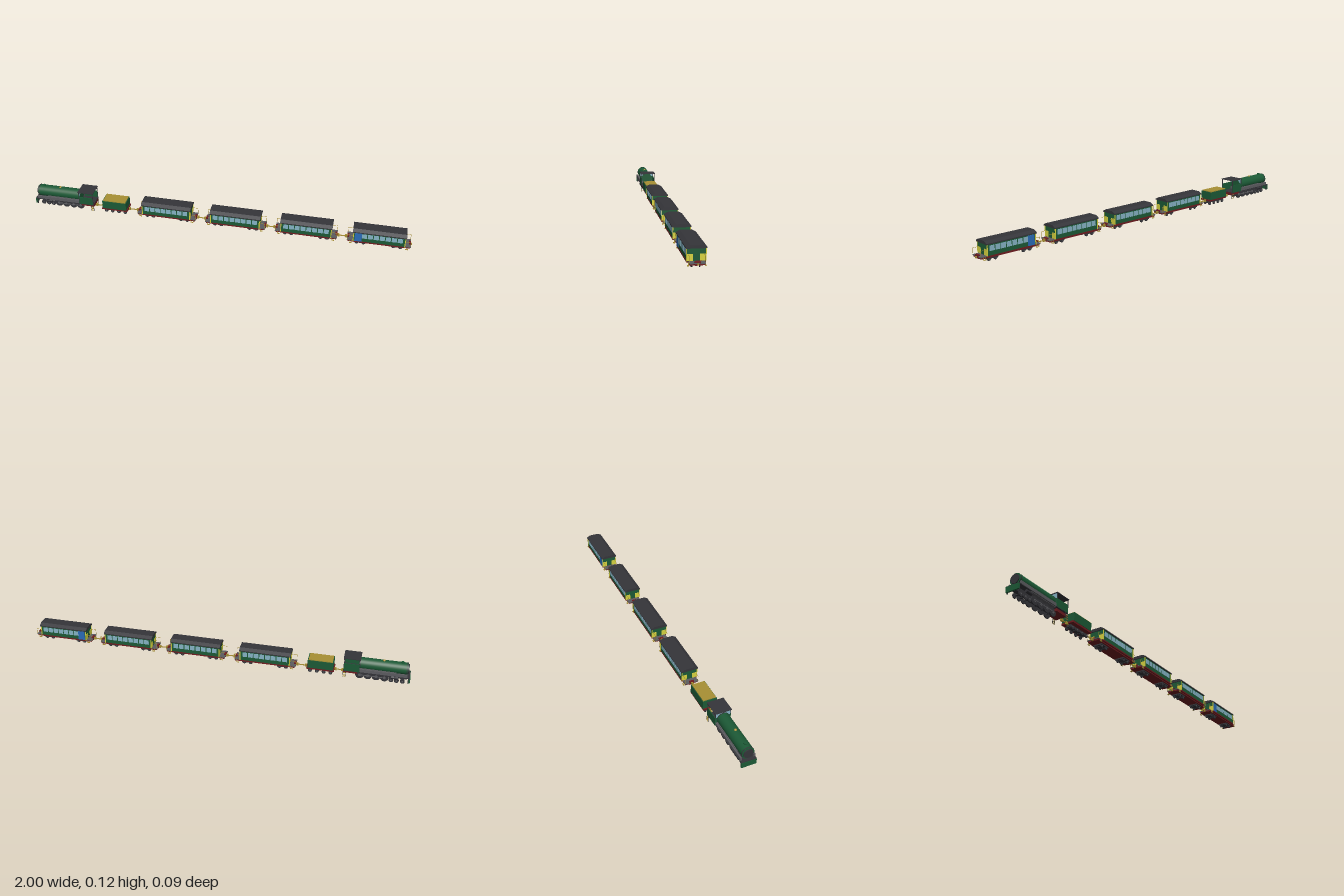
import * as THREE from 'three';

const mat = (color, opts = {}) => new THREE.MeshStandardMaterial({ color, ...opts });
const M = {
  green: mat(0x1c5a36), dark: mat(0x35353a), grey: mat(0x5c5c60), glass: mat(0x86b4c6),
  yellow: mat(0xd8d440), gold: mat(0xa89034), red: mat(0x701c20), blue: mat(0x2a6cb8),
};

function add(parent, name, geo, material, x = 0, y = 0, z = 0) {
  const m = new THREE.Mesh(geo, material);
  m.name = name;
  m.position.set(x, y, z);
  parent.add(m);
  return m;
}

// Box given by its limits along each axis
function box(parent, name, material, [x0, x1], [y0, y1], [z0, z1]) {
  return add(parent, name, new THREE.BoxGeometry(x1 - x0, y1 - y0, z1 - z0), material,
    (x0 + x1) / 2, (y0 + y1) / 2, (z0 + z1) / 2);
}

// Pair of wheels with hubs joined by an axle
function wheelset(parent, x, r) {
  const g = new THREE.Group();
  g.name = 'wheelset';
  g.position.set(x, r, 0);
  parent.add(g);
  for (const s of [-1, 1]) {
    const w = add(g, 'wheel', new THREE.CylinderGeometry(r, r, 0.005, 20), M.dark, 0, 0, s * 0.017);
    w.rotation.x = Math.PI / 2;
    const h = add(g, 'hub', new THREE.CylinderGeometry(r * 0.35, r * 0.35, 0.003, 10), M.grey, 0, 0, s * 0.0205);
    h.rotation.x = Math.PI / 2;
  }
  add(g, 'axle', new THREE.CylinderGeometry(0.0025, 0.0025, 0.034, 8), M.dark).rotation.x = Math.PI / 2;
}

// Solid with a constant cross-section of [z, y] points, running along x
function prism(parent, name, material, points, x0, x1) {
  const shape = new THREE.Shape(points.map(([z, y]) => new THREE.Vector2(-z, y)));
  const geo = new THREE.ExtrudeGeometry(shape, { depth: x1 - x0, bevelEnabled: false });
  geo.rotateY(Math.PI / 2);
  return add(parent, name, geo, material, x0);
}

function createLocomotive() {
  const g = new THREE.Group();
  g.name = 'locomotive';
  // boiler with smokebox door, bands and fittings
  const tube = (name, r, x0, x1, m) => {
    const t = add(g, name, new THREE.CylinderGeometry(r, r, x1 - x0, 32), m, (x0 + x1) / 2, 0.079, 0);
    t.rotation.z = Math.PI / 2;
  };
  tube('boiler', 0.03, -0.985, -0.745, M.green);
  tube('smokeboxDoor', 0.024, -0.99, -0.984, M.dark);
  for (const x of [-0.98, -0.75]) tube('boilerBand', 0.0308, x - 0.002, x + 0.002, M.dark);
  add(g, 'chimney', new THREE.CylinderGeometry(0.008, 0.007, 0.008, 16), M.green, -0.955, 0.11, 0);
  add(g, 'dome', new THREE.SphereGeometry(0.007, 14, 8), M.gold, -0.865, 0.108, 0);
  // running boards, frame and front beam
  box(g, 'boilerSaddle', M.grey, [-0.93, -0.745], [0.044, 0.064], [-0.03, 0.03]);
  for (const s of [-1, 1]) {
    const z = s * 0.033;
    box(g, 'runningBoard', M.grey, [-0.985, -0.745], [0.046, 0.062], [z - 0.004, z + 0.004]);
    box(g, 'frontPost', M.dark, [-0.993, -0.989], [0.012, 0.046], [z - 0.002, z + 0.002]);
    box(g, 'connectingRod', M.grey, [-0.88, -0.75], [0.02, 0.024], [s * 0.023 - 0.001, s * 0.023 + 0.001]);
    const c = add(g, 'cylinder', new THREE.CylinderGeometry(0.008, 0.008, 0.035, 16), M.dark, -0.925, 0.034, s * 0.027);
    c.rotation.z = Math.PI / 2;
  }
  box(g, 'frontDeck', M.dark, [-0.998, -0.92], [0.042, 0.047], [-0.037, 0.037]);
  box(g, 'frontBeam', M.green, [-1, -0.993], [0.016, 0.044], [-0.037, 0.037]);
  box(g, 'mainFrame', M.dark, [-0.985, -0.73], [0.022, 0.046], [-0.011, 0.011]);
  box(g, 'rearFrame', M.red, [-0.74, -0.67], [0.03, 0.046], [-0.03, 0.03]);
  // leading wheels and driving wheels
  for (const x of [-0.964, -0.935, -0.908]) wheelset(g, x, 0.012);
  for (const x of [-0.875, -0.834, -0.793, -0.752]) wheelset(g, x, 0.021);
  // cab
  box(g, 'cabFloor', M.dark, [-0.75, -0.67], [0.044, 0.048], [-0.039, 0.039]);
  box(g, 'cabFront', M.green, [-0.75, -0.746], [0.046, 0.09], [-0.039, 0.039]);
  box(g, 'cabFrontWindow', M.glass, [-0.749, -0.747], [0.09, 0.116], [-0.038, 0.038]);
  for (const s of [-1, 1]) {
    const z = s * 0.038;
    box(g, 'cabSide', M.green, [-0.75, -0.672], [0.046, 0.088], [z - 0.0015, z + 0.0015]);
    for (const x of [-0.748, -0.672])
      box(g, 'cabPost', M.dark, [x - 0.0015, x + 0.0015], [0.046, 0.116], [z - 0.0015, z + 0.0015]);
    // access ladder
    for (const x of [-0.684, -0.67])
      box(g, 'ladderRail', M.dark, [x - 0.001, x + 0.001], [0.01, 0.046], [z - 0.001, z + 0.001]);
    for (const y of [0.012, 0.022, 0.032])
      box(g, 'ladderRung', M.gold, [-0.684, -0.67], [y, y + 0.002], [z - 0.002, z + 0.002]);
  }
  box(g, 'cabRoof', M.dark, [-0.753, -0.668], [0.115, 0.118], [-0.042, 0.042]);
  return g;
}

function createTender() {
  const g = new THREE.Group();
  g.name = 'tender';
  box(g, 'tenderBody', M.green, [-0.62, -0.49], [0.034, 0.077], [-0.036, 0.036]);
  box(g, 'fuelLoad', M.gold, [-0.616, -0.494], [0.076, 0.081], [-0.033, 0.033]);
  box(g, 'tenderFrame', M.red, [-0.625, -0.485], [0.025, 0.034], [-0.034, 0.034]);
  box(g, 'axleBeam', M.dark, [-0.615, -0.495], [0.012, 0.025], [-0.012, 0.012]);
  for (const x of [-0.607, -0.573, -0.538, -0.503]) wheelset(g, x, 0.01);
  return g;
}

// Passenger car, centred on its own x = 0
function createCar(hasBlueDoor) {
  const g = new THREE.Group();
  g.name = 'passengerCar';
  const L = 0.128, W = 0.04;
  box(g, 'underframe', M.red, [-0.155, 0.155], [0.019, 0.027], [-0.032, 0.032]);
  box(g, 'platformDeck', M.grey, [-0.159, 0.159], [0.026, 0.03], [-0.034, 0.034]);
  box(g, 'bodyFloor', M.red, [-L, L], [0.024, 0.031], [-W, W]);
  box(g, 'body', M.green, [-L, L], [0.03, 0.087], [-W + 0.001, W - 0.001]);
  prism(g, 'roof', M.dark,
    [[0.044, 0.083], [0.044, 0.088], [0.026, 0.098], [-0.026, 0.098], [-0.044, 0.088], [-0.044, 0.083]], -0.133, 0.133);
  for (const s of [-1, 1]) {
    // window row
    const n = 8, pitch = 0.236 / n;
    for (let i = 0; i < n; i++) {
      const x = -0.118 + (i + 0.5) * pitch;
      if (hasBlueDoor && i === 0) continue;
      box(g, 'window', M.glass, [x - 0.0125, x + 0.0125], [0.052, 0.077], [s * W - 0.0012, s * W + 0.0005]);
    }
    if (hasBlueDoor)
      box(g, 'blueDoor', M.blue, [-0.122, -0.086], [0.031, 0.08], [s * W - 0.0015, s * W + 0.001]);
    // end walls: yellow panels beside a green door
    for (const e of [-1, 1]) {
      const x = e * L;
      box(g, 'endPanel', M.yellow, [x - 0.0015, x + 0.0015], [0.031, 0.06], [s * 0.027 - 0.013, s * 0.027 + 0.013]);
      box(g, 'cornerPost', M.yellow, [x - 0.002, x + 0.002], [0.03, 0.086], [s * W - 0.0015, s * W + 0.0015]);
      // platform handrail and steps
      const zr = s * 0.033;
      box(g, 'handrail', M.gold, [x + e * 0.014 - 0.015, x + e * 0.014 + 0.015], [0.058, 0.0595], [zr - 0.0007, zr + 0.0007]);
      box(g, 'railPost', M.gold, [x + e * 0.029 - 0.0007, x + e * 0.029 + 0.0007], [0.029, 0.0595], [zr - 0.0007, zr + 0.0007]);
      box(g, 'step', M.gold, [x + e * 0.012 - 0.007, x + e * 0.012 + 0.007], [0.014, 0.016], [s * 0.037 - 0.003, s * 0.037 + 0.003]);
      for (const d of [-0.006, 0.006])
        box(g, 'stepHanger', M.gold, [x + e * 0.012 + d - 0.0007, x + e * 0.012 + d + 0.0007], [0.014, 0.028], [s * 0.035 - 0.001, s * 0.035 + 0.001]);
    }
  }
  // bogies and end door fittings
  for (const e of [-1, 1]) {
    const x = e * 0.092;
    box(g, 'bogieFrame', M.dark, [x - 0.028, x + 0.028], [0.011, 0.018], [-0.025, 0.025]);
    box(g, 'bogiePivot', M.dark, [x - 0.008, x + 0.008], [0.016, 0.021], [-0.012, 0.012]);
    for (const d of [-0.017, 0.017]) wheelset(g, x + d, 0.01);
    box(g, 'couplerMount', M.red, [e * 0.154 - 0.005, e * 0.154 + 0.005], [0.019, 0.036], [-0.012, 0.012]);
  }
  return g;
}

// Drawbar with a block at each end
function coupler(parent, x0, x1) {
  box(parent, 'drawbar', M.gold, [x0, x1], [0.023, 0.027], [-0.002, 0.002]);
  for (const x of [x0 + 0.006, x1 - 0.006])
    box(parent, 'couplerBlock', M.gold, [x - 0.007, x + 0.007], [0.019, 0.033], [-0.004, 0.004]);
}

export function createModel() {
  const train = new THREE.Group();
  train.name = 'train';
  train.add(createLocomotive(), createTender());
  coupler(train, -0.672, -0.622);
  coupler(train, -0.488, -0.428);
  for (let i = 0; i < 4; i++) {
    const car = createCar(i === 3);
    car.position.x = -0.27 + i * 0.3683;
    train.add(car);
    if (i < 3) coupler(train, car.position.x + 0.157, car.position.x + 0.211);
  }
  box(train, 'rearCoupler', M.gold, [0.99, 1], [0.021, 0.029], [-0.003, 0.003]);
  return train;
}
